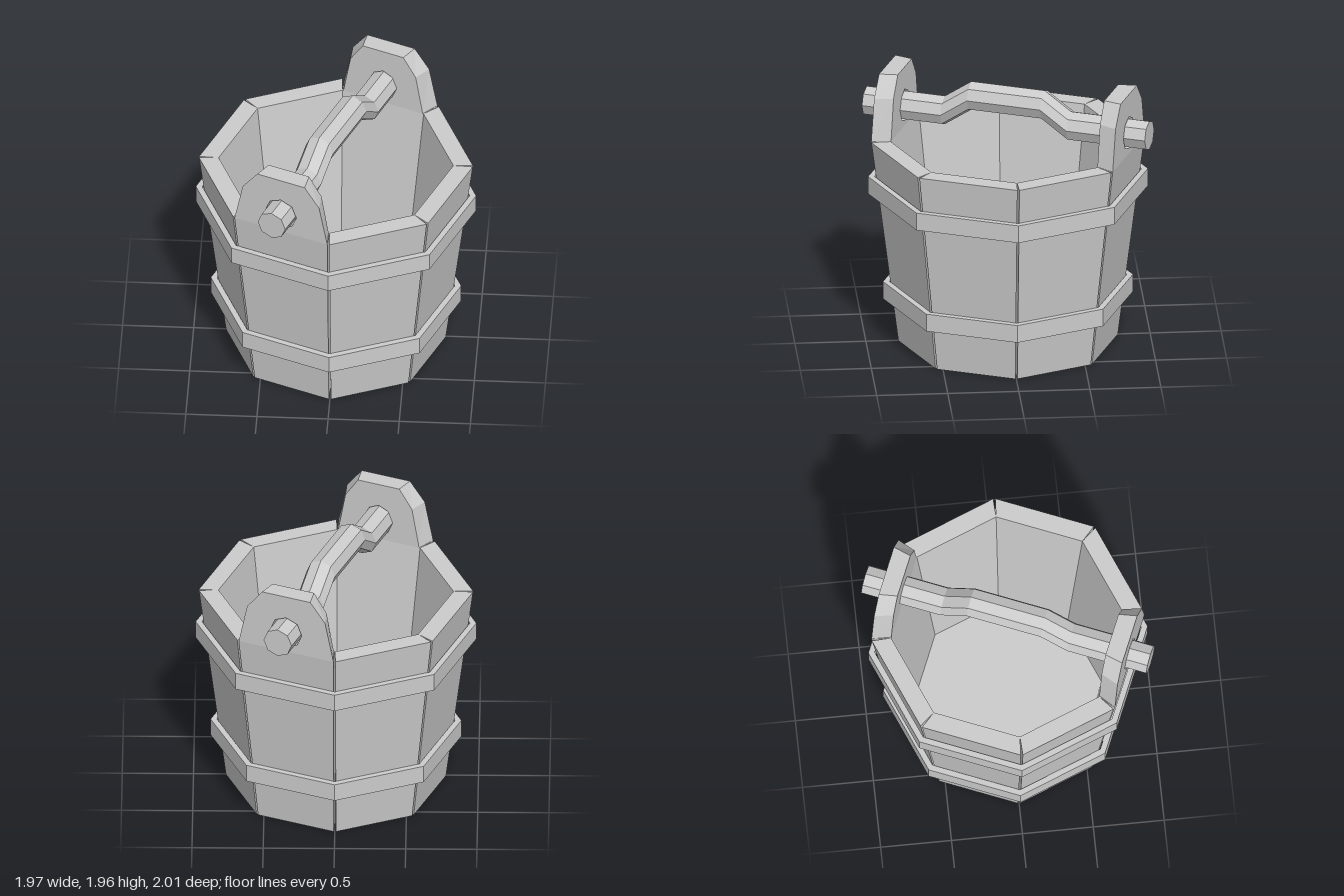
import * as THREE from 'three';

const STEP = Math.PI / 4;          // eight staves
const HALF = STEP / 2;
const RIM = 1.51;                  // height of the stave tops
const OUT = [0.775, 0.965];        // outer corner radius at bottom and rim
const INN = [0.635, 0.825];        // inner corner radius at bottom and rim
const GAP = 0.008;

const material = new THREE.MeshStandardMaterial({ color: 0xcccccc, flatShading: true });

function addMesh(parent, name, geometry) {
  const mesh = new THREE.Mesh(geometry, material);
  mesh.name = name;
  parent.add(mesh);
  return mesh;
}

// Moves every vertex by a rule
function reshape(geometry, rule) {
  const p = geometry.attributes.position;
  const v = new THREE.Vector3();
  for (let i = 0; i < p.count; i++) {
    v.fromBufferAttribute(p, i);
    rule(v);
    p.setXYZ(i, v.x, v.y, v.z);
  }
  geometry.computeVertexNormals();
  return geometry;
}

// Leaning plank with a wedge plan: inner corners meet, outer corners leave a slit
function staveGeometry() {
  return reshape(new THREE.BoxGeometry(2, 2, 2), (v) => {
    const top = v.y > 0 ? 1 : 0;
    const outer = v.z > 0;
    const r = (outer ? OUT : INN)[top];
    v.set(v.x * (Math.sin(HALF) * r - (outer ? GAP : 0)), top * RIM, Math.cos(HALF) * r);
  });
}

// Upright ear with a hole for the handle, narrowing towards the inside
function earGeometry() {
  const side = [[0.361, RIM], [0.297, 1.81], [0.184, 1.955]];
  const outline = [...side, ...side.map(([x, y]) => [-x, y]).reverse()];
  const shape = new THREE.Shape(outline.map(([x, y]) => new THREE.Vector2(x, y)));
  const hole = [];
  for (let i = 0; i < 8; i++) {
    hole.push(new THREE.Vector2(0.12 * Math.sin(i * STEP), 1.665 + 0.12 * Math.cos(i * STEP)));
  }
  shape.holes.push(new THREE.Path(hole));
  const zIn = INN[1] * Math.cos(HALF);
  const zOut = OUT[1] * Math.cos(HALF);
  const geometry = new THREE.ExtrudeGeometry(shape, { depth: zOut - zIn, bevelEnabled: false });
  return reshape(geometry, (v) => {
    v.z += zIn;
    v.x *= v.z / zOut;
  });
}

// Octagonal hoop with straight walls
function hoopGeometry(inner, outer, low, high) {
  const profile = [[inner, low], [outer, low], [outer, high], [inner, high], [inner, low]];
  return new THREE.LatheGeometry(profile.map(([x, y]) => new THREE.Vector2(x, y)), 8);
}

// Octagonal bar along z with a raised middle
function handleGeometry() {
  const stations = [[-1.044, 1.665], [-0.465, 1.665], [-0.27, 1.8], [0.27, 1.8], [0.465, 1.665], [1.044, 1.665]];
  const geometry = new THREE.CylinderGeometry(0.107, 0.107, 5, 8, 5);
  geometry.rotateX(Math.PI / 2);
  return reshape(geometry, (v) => {
    const [z, y] = stations[Math.round(v.z + 2.5)];
    v.z = z;
    v.y += y;
  });
}

export function createModel() {
  const bucket = new THREE.Group();
  bucket.name = 'bucket';

  // Ring of staves
  const staves = new THREE.Group();
  staves.name = 'staves';
  bucket.add(staves);
  const stave = staveGeometry();
  for (let i = 0; i < 8; i++) {
    addMesh(staves, 'stave', stave).rotation.y = -HALF + i * STEP;
  }

  // Floor
  const floor = addMesh(bucket, 'floor', new THREE.CylinderGeometry(0.67, 0.645, 0.198, 8));
  floor.position.y = 0.101;

  // Hoops
  addMesh(bucket, 'lowerHoop', hoopGeometry(0.835, 0.88, 0.32, 0.45));
  addMesh(bucket, 'upperHoop', hoopGeometry(0.94, 0.985, 1.12, 1.25));

  // Ears on two opposite staves, and the handle through them
  const carrier = new THREE.Group();
  carrier.name = 'handleAssembly';
  carrier.rotation.y = -HALF;
  bucket.add(carrier);
  const ear = earGeometry();
  addMesh(carrier, 'frontEar', ear);
  addMesh(carrier, 'backEar', ear).rotation.y = Math.PI;
  addMesh(carrier, 'handle', handleGeometry());

  return bucket;
}
